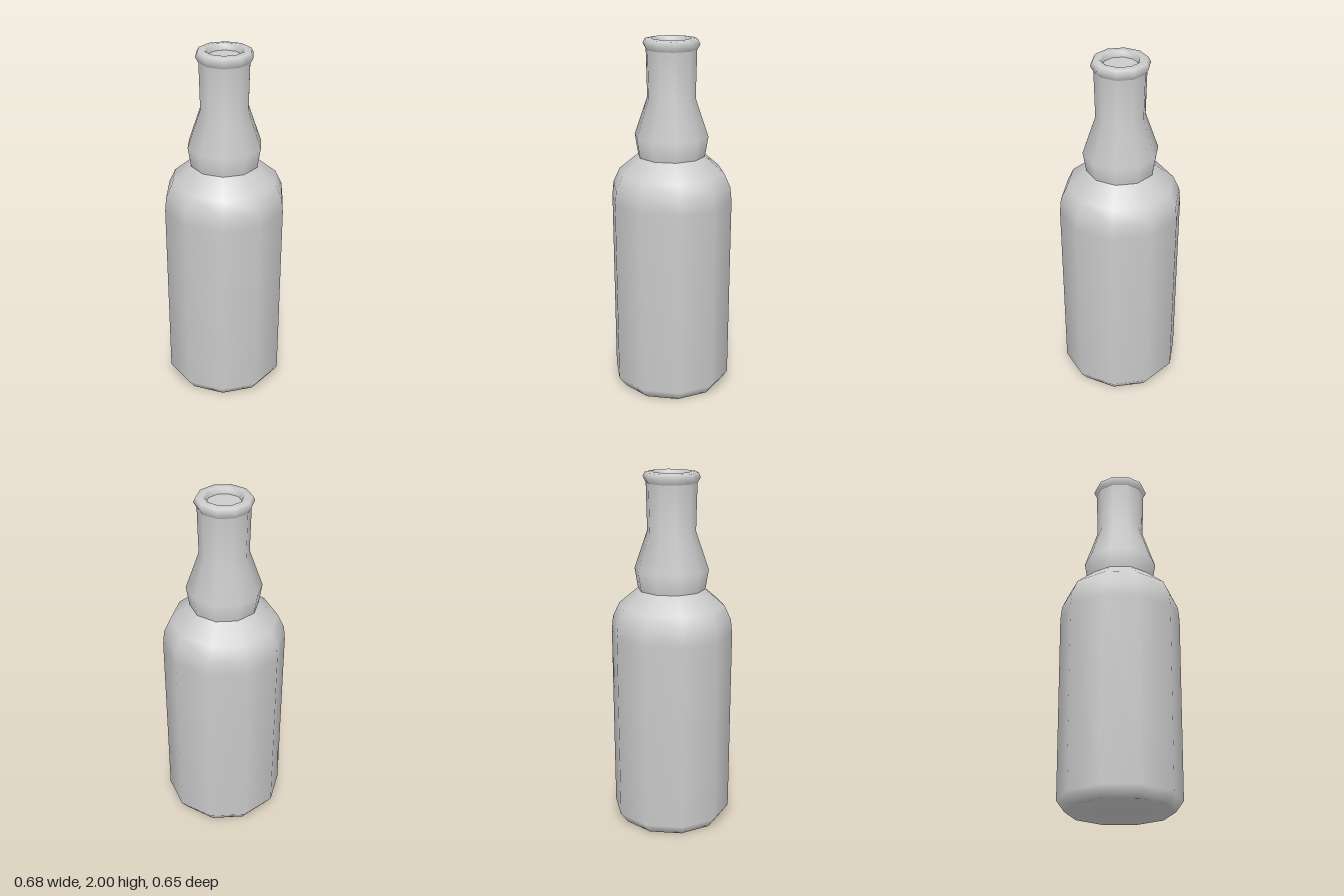
import * as THREE from 'three';

const SIDES = 10;

// Turns a [radius, height] profile into a smooth-shaded ten-sided part with a corner on +x
function turned(name, profile, material) {
  const points = profile.map(([r, y]) => new THREE.Vector2(r, y));
  const mesh = new THREE.Mesh(new THREE.LatheGeometry(points, SIDES, Math.PI / 2), material);
  mesh.name = name;
  return mesh;
}

export function createModel() {
  const group = new THREE.Group();
  group.name = 'bottle';
  const grey = new THREE.MeshStandardMaterial({ color: 0xcccccc });

  // Body with closed base, chamfered foot and rounded shoulder
  group.add(turned('body', [
    [0, 0], [0.29, 0], [0.334, 0.06], [0.34, 1.11], [0.332, 1.19], [0.295, 1.27], [0.188, 1.36],
  ], grey));

  // Bulged neck
  group.add(turned('neck', [
    [0.188, 1.36], [0.206, 1.47], [0.134, 1.68], [0.14, 1.94],
  ], grey));

  // Rolled lip around the mouth, turning inwards at the top
  group.add(turned('lip', [
    [0.14, 1.94], [0.157, 1.97], [0.145, 1.995], [0.11, 2], [0.098, 1.99], [0.093, 1.965],
  ], grey));

  // Flat stopper just below the rim
  const stopper = new THREE.Mesh(new THREE.CircleGeometry(0.093, SIDES), grey);
  stopper.name = 'stopper';
  stopper.rotation.x = -Math.PI / 2;
  stopper.position.y = 1.965;
  group.add(stopper);

  return group;
}
